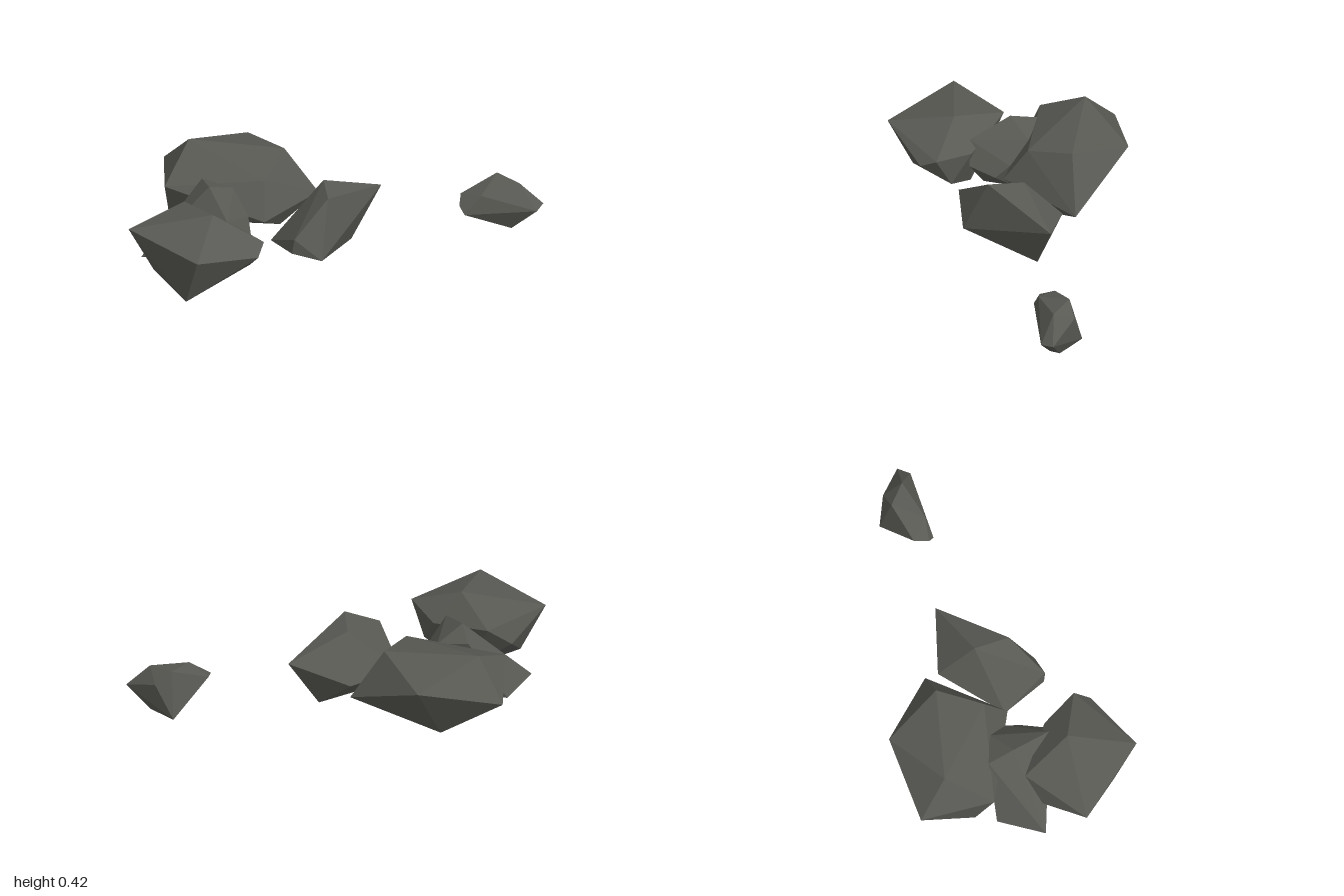
import * as THREE from 'three';
import { ConvexGeometry } from 'three/addons/geometries/ConvexGeometry.js';

// Each rock is the convex hull of a few corner points [x, y, z].
const ROCKS = {
  largeBackRock: [
    [-0.61, 0.42, -0.38], [-0.18, 0.40, -0.25], [-0.30, 0.33, -0.535], [-0.70, 0.24, -0.535],
    [-0.02, 0.15, -0.24], [-0.76, 0.29, -0.19], [-0.31, 0.35, -0.06], [-0.33, 0.19, 0.05],
    [-0.43, 0.00, -0.37], [-0.22, 0.055, -0.14], [-0.72, 0.06, -0.27],
  ],
  frontRock: [
    [-1.00, 0.305, 0.18], [-0.74, 0.295, 0.535], [-0.61, 0.375, 0.24], [-0.39, 0.275, 0.36],
    [-0.43, 0.235, 0.43], [-0.44, 0.11, 0.28], [-0.77, 0.02, 0.41], [-0.62, 0.00, 0.16],
    [-0.88, 0.07, 0.18], [-0.70, 0.31, -0.01], [-0.82, 0.20, 0.03], [-0.47, 0.25, 0.18],
  ],
  middleRock: [
    [-0.91, 0.04, 0.01], [-0.77, 0.04, -0.18], [-0.58, 0.37, -0.02], [-0.59, 0.34, -0.15],
    [-0.45, 0.31, -0.09], [-0.40, 0.21, 0.01], [-0.40, 0.15, 0.08], [-0.47, 0.18, 0.19],
    [-0.53, 0.29, 0.18], [-0.50, 0.07, 0.12], [-0.45, 0.06, -0.02], [-0.60, 0.05, -0.12],
  ],
  sideRock: [
    [-0.04, 0.36, 0.00], [-0.05, 0.36, 0.17], [0.25, 0.255, -0.08], [-0.03, 0.17, -0.18],
    [-0.23, 0.22, 0.28], [-0.10, 0.09, 0.28], [-0.24, 0.14, 0.27], [-0.30, 0.09, 0.05],
    [0.10, 0.00, -0.04], [-0.07, 0.01, 0.01],
  ],
  smallLooseRock: [
    [0.80, 0.26, -0.08], [0.89, 0.245, 0.01], [1.00, 0.135, 0.03], [0.96, 0.125, 0.08],
    [0.62, 0.13, 0.06], [0.60, 0.165, 0.03], [0.62, 0.19, -0.04], [0.80, 0.03, -0.14],
    [0.88, 0.20, -0.09], [0.85, 0.01, 0.02], [0.89, 0.02, -0.02], [0.70, 0.22, 0.05],
  ],
};

export function createModel() {
  const group = new THREE.Group();
  group.name = 'rockCluster';
  const stone = new THREE.MeshStandardMaterial({ color: 0x595954, flatShading: true });
  stone.name = 'dark grey stone';

  for (const [name, corners] of Object.entries(ROCKS)) {
    const points = corners.map((c) => new THREE.Vector3(...c));
    const rock = new THREE.Mesh(new ConvexGeometry(points), stone);
    rock.name = name;
    group.add(rock);
  }
  return group;
}
